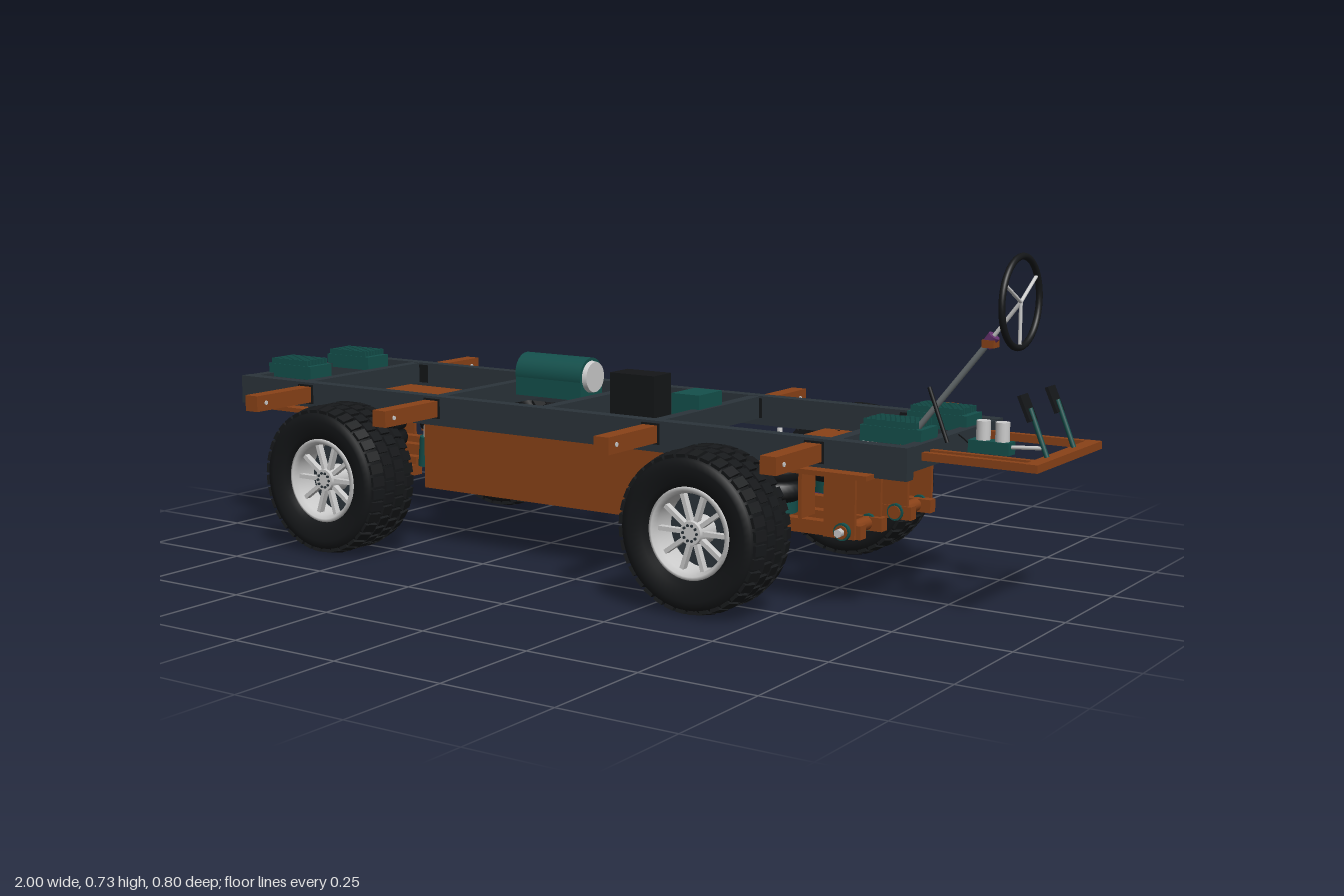
import * as THREE from 'three';

const mat = (color, flat = false) => new THREE.MeshStandardMaterial({ color, flatShading: flat });
const RUST = mat(0x8a4218), STEEL = mat(0x2b343a), BLACK = mat(0x141618), TREAD = mat(0x17191b, true);
const TEAL = mat(0x14504c), BLUE = mat(0x24479c), PURPLE = mat(0x64306c), GREY = mat(0xcccccc), DARKGREY = mat(0x6d7476);

function add(parent, name, geo, material) {
  const m = new THREE.Mesh(geo, material);
  m.name = name;
  parent.add(m);
  return m;
}

// Box given by its extents, in any order
function box(parent, name, material, xa, xb, ya, yb, za, zb) {
  const m = add(parent, name, new THREE.BoxGeometry(Math.abs(xb - xa), Math.abs(yb - ya), Math.abs(zb - za)), material);
  m.position.set((xa + xb) / 2, (ya + yb) / 2, (za + zb) / 2);
  return m;
}

// Round bar between two points
function rod(parent, name, material, a, b, r, r2 = r, sides = 16) {
  const p = new THREE.Vector3(...a), q = new THREE.Vector3(...b);
  const d = q.clone().sub(p);
  const m = add(parent, name, new THREE.CylinderGeometry(r2, r, d.length(), sides), material);
  m.position.copy(p).add(q).multiplyScalar(0.5);
  m.quaternion.setFromUnitVectors(new THREE.Vector3(0, 1, 0), d.normalize());
  return m;
}

function cable(parent, name, points, r = 0.0025) {
  const curve = new THREE.CatmullRomCurve3(points.map(p => new THREE.Vector3(...p)));
  return add(parent, name, new THREE.TubeGeometry(curve, 20, r, 5), BLACK);
}

// Wheel with its axis on local y, outer face towards +y
function wheel() {
  const g = new THREE.Group();
  const v = (x, y) => new THREE.Vector2(x, y);
  const tyre = [v(0.092, -0.055), v(0.105, -0.068), v(0.135, -0.072), v(0.15, -0.069), v(0.158, -0.058), v(0.16, 0),
    v(0.158, 0.058), v(0.15, 0.069), v(0.135, 0.072), v(0.105, 0.068), v(0.092, 0.055), v(0.09, 0), v(0.092, -0.055)];
  add(g, 'tyre', new THREE.LatheGeometry(tyre, 56), BLACK);
  // Four staggered rows of tread blocks
  const n = 36;
  for (let row = 0; row < 4; row++) {
    const block = new THREE.BoxGeometry(0.009, row % 3 ? 0.028 : 0.03, 0.021);
    const rowMesh = new THREE.InstancedMesh(block, TREAD, 0);
    rowMesh.geometry.dispose();
    for (let i = 0; i < n; i++) {
      const a = ((i + (row % 2) * 0.5) / n) * Math.PI * 2;
      const outer = row === 0 || row === 3;
      const r = outer ? 0.159 : 0.161;
      const m = add(g, 'treadBlock', block, TREAD);
      m.position.set(Math.cos(a) * r, (row - 1.5) * 0.034, Math.sin(a) * r);
      m.rotation.y = -a;
      if (outer) m.rotateZ(row === 0 ? -0.22 : 0.22);
    }
  }
  // Rim barrel, dark backing and spokes
  const rim = [v(0.085, -0.06), v(0.094, -0.06), v(0.094, 0.058), v(0.086, 0.062), v(0.08, 0.05), v(0.078, -0.02), v(0.085, -0.06)];
  add(g, 'rim', new THREE.LatheGeometry(rim, 48), GREY);
  const disc = add(g, 'brakeDisc', new THREE.CylinderGeometry(0.08, 0.08, 0.02, 32), STEEL);
  disc.position.y = -0.01;
  const hub = add(g, 'hub', new THREE.CylinderGeometry(0.024, 0.03, 0.05, 24), GREY);
  hub.position.y = 0.027;
  for (let i = 0; i < 10; i++) {
    const a = (i / 10) * Math.PI * 2, c = Math.cos(a), s = Math.sin(a);
    const spoke = add(g, 'spoke', new THREE.BoxGeometry(0.062, 0.014, 0.009), GREY);
    spoke.position.set(c * 0.053, 0.038, s * 0.053);
    spoke.rotation.y = -a;
    rod(g, 'wheelBolt', STEEL, [c * 0.016, 0.05, s * 0.016], [c * 0.016, 0.055, s * 0.016], 0.003, 0.003, 6);
  }
  return g;
}

// Suspension corner: u runs outboard along the car from the axle, w sideways from the middle
function corner(cx, s, t, front) {
  const g = new THREE.Group();
  g.name = (front ? 'front' : 'rear') + (t > 0 ? 'Left' : 'Right') + 'Suspension';
  const P = (u, y, w) => [cx + s * u, y, t * w];
  const b = (name, m, u0, u1, y0, y1, w0, w1) => box(g, name, m, cx + s * u0, cx + s * u1, y0, y1, t * w0, t * w1);
  const r = (name, m, p, q, rad, rad2, sides) => rod(g, name, m, P(...p), P(...q), rad, rad2, sides);

  // Mounting plates and hanging brackets
  b('mountPlate', RUST, 0.125, 0.325, 0.288, 0.298, 0.08, 0.252);
  b('springPlate', RUST, -0.01, 0.125, 0.288, 0.298, 0.04, 0.192);
  b('outerPlate', RUST, 0.05, 0.125, 0.288, 0.298, 0.19, 0.252);
  for (const w of [0.06, 0.17]) {
    b('hangerBracket', RUST, 0.19, 0.26, 0.15, 0.29, w - 0.004, w + 0.004);
    r('pivotBush', TEAL, [0.235, 0.165, w - 0.012], [0.235, 0.165, w + 0.012], 0.018);
  }
  b('hangerWeb', RUST, 0.155, 0.163, 0.19, 0.29, 0.16, 0.215);
  // Lower arm: cross tubes joined by two side bars
  r('pivotTube', RUST, [0.235, 0.165, 0.045], [0.235, 0.165, 0.185], 0.014);
  r('pivotBolt', GREY, [0.235, 0.165, 0.18], [0.235, 0.165, 0.198], 0.009, 0.009, 6);
  for (const w of [0.065, 0.155]) b('armSide', RUST, -0.02, 0.27, 0.15, 0.178, w - 0.012, w + 0.012);
  b('armCross', RUST, -0.02, 0.03, 0.135, 0.16, 0.055, 0.165);
  // Air spring bellows
  const prof = [[0, 0], [0.05, 0], [0.068, 0.012], [0.071, 0.024], [0.066, 0.038], [0.058, 0.043], [0.066, 0.048], [0.071, 0.062], [0.068, 0.074], [0.05, 0.085], [0, 0.085]];
  const bellows = add(g, 'airSpring', new THREE.LatheGeometry(prof.map(p => new THREE.Vector2(...p)), 32), BLACK);
  bellows.position.set(...P(0.05, 0.203, 0.13));
  r('springSeat', TEAL, [0.05, 0.178, 0.13], [0.05, 0.205, 0.13], 0.05);
  // Damper
  r('damperBody', TEAL, [-0.04, 0.16, 0.07], [-0.05, 0.23, 0.075], 0.014);
  r('damperRod', GREY, [-0.05, 0.23, 0.075], [-0.06, 0.31, 0.08], 0.006);
  // Knuckle with its kingpin and axle stub
  b('knuckle', PURPLE, -0.03, 0.03, 0.145, 0.195, 0.14, 0.27);
  r('kingpin', PURPLE, [0, 0.105, 0.17], [0, 0.215, 0.17], 0.013);
  r('kingpinCollar', TEAL, [0, 0.122, 0.17], [0, 0.14, 0.17], 0.019);
  r('kingpinDisc', RUST, [0, 0.109, 0.17], [0, 0.118, 0.17], 0.026);
  cable(g, 'brakeHose', [P(0.03, 0.3, 0.18), P(0.02, 0.25, 0.2), P(0, 0.2, 0.25)]);
  cable(g, 'airLine', [P(0.02, 0.3, 0.02), P(-0.05, 0.305, 0.01), P(-0.1, 0.305, 0.04)], 0.0015);

  const wh = wheel();
  wh.name = (front ? 'front' : 'rear') + (t > 0 ? 'Left' : 'Right') + 'Wheel';
  wh.position.set(...P(0, 0.168, 0.317));
  wh.rotation.x = t * Math.PI / 2;
  g.add(wh);
  return g;
}

export function createModel() {
  const root = new THREE.Group();

  // Ladder frame
  for (const t of [1, -1]) {
    box(root, 'sideRail', STEEL, -1, 0.76, 0.29, 0.355, t * 0.192, t * 0.22);
    for (const x of [-0.793, -0.413, 0.172, 0.558]) {
      box(root, 'outrigger', RUST, x - 0.018, x + 0.018, 0.31, 0.346, t * 0.22, t * 0.398);
      rod(root, 'outriggerBolt', GREY, [x - 0.02, 0.328, t * 0.37], [x + 0.02, 0.328, t * 0.37], 0.005, 0.005, 8);
      box(root, 'railSocket', BLACK, x - 0.022, x + 0.022, 0.306, 0.35, t * 0.19, t * 0.223);
    }
  }
  for (const x of [-0.987, -0.81, -0.41, -0.12, 0.175, 0.59, 0.747])
    box(root, 'crossMember', STEEL, x - 0.013, x + 0.013, 0.305, 0.354, -0.195, 0.195);

  // Suspension corners and wheels
  for (const t of [1, -1]) {
    root.add(corner(-0.605, -1, t, false));
    root.add(corner(0.365, 1, t, true));
  }

  // Open battery tray with cells
  const tray = new THREE.Group();
  tray.name = 'batteryTray';
  root.add(tray);
  box(tray, 'trayFloor', RUST, -0.49, 0.245, 0.13, 0.138, -0.157, 0.157);
  for (const t of [1, -1]) box(tray, 'traySide', RUST, -0.49, 0.245, 0.138, 0.285, t * 0.147, t * 0.157);
  for (const x of [-0.485, 0.24]) box(tray, 'trayEnd', RUST, x - 0.005, x + 0.005, 0.138, 0.285, -0.147, 0.147);
  box(tray, 'trayShelf', RUST, -0.48, 0.235, 0.138, 0.25, 0.062, 0.147);
  box(tray, 'trayEndShelf', RUST, -0.48, -0.425, 0.138, 0.265, -0.147, 0.062);
  for (let i = 0; i < 6; i++) for (let j = 0; j < 4; j++) {
    const x = -0.418 + i * 0.109, z = -0.143 + j * 0.051;
    box(tray, 'batteryCell', BLUE, x, x + 0.105, 0.14, 0.268, z, z + 0.048);
    for (const k of [0.025, 0.08]) box(tray, 'terminal', STEEL, x + k - 0.006, x + k + 0.006, 0.268, 0.273, z + 0.02, z + 0.028);
  }
  for (const x of [-0.36, -0.205, 0.08]) box(tray, 'controlUnit', TEAL, x - 0.04, x + 0.04, 0.25, 0.29, 0.092, 0.138);

  // Equipment on top of the cells
  rod(root, 'compressorTank', TEAL, [-0.315, 0.395, 0], [-0.135, 0.395, 0], 0.043, 0.043, 32);
  rod(root, 'tankCap', GREY, [-0.135, 0.395, 0], [-0.124, 0.395, 0], 0.036, 0.034, 32);
  box(root, 'tankBase', TEAL, -0.315, -0.135, 0.345, 0.395, -0.042, 0.042);
  box(root, 'powerUnit', BLACK, -0.06, 0.056, 0.3, 0.415, -0.034, 0.034);
  box(root, 'chargerBox', TEAL, 0.11, 0.18, 0.3, 0.385, -0.046, 0.046);

  // Ribbed coolers at both ends
  for (const x of [-0.922, 0.682]) for (const t of [1, -1]) {
    box(root, 'coolerBase', TEAL, x - 0.067, x + 0.067, 0.345, 0.377, t * 0.066, t * 0.139);
    for (let i = 0; i < 7; i++) {
      const z = t * (0.07 + i * 0.0108);
      box(root, 'coolerFin', TEAL, x - 0.06, x + 0.055, 0.377, 0.39, z - 0.002, z + 0.002);
    }
  }

  // Steering linkage
  box(root, 'steeringRack', TEAL, 0.247, 0.265, 0.185, 0.215, -0.09, 0.09);
  rod(root, 'steeringShaft', GREY, [0.26, 0.21, 0.03], [0.4, 0.28, 0.08], 0.007);
  rod(root, 'steeringShaftUpper', GREY, [0.4, 0.28, 0.08], [0.73, 0.37, 0.12], 0.006);
  for (const t of [1, -1]) {
    rod(root, 'tieRod', PURPLE, [0.255, 0.2, t * 0.09], [0.265, 0.18, t * 0.15], 0.007);
    rod(root, 'steeringArm', PURPLE, [0.265, 0.18, t * 0.15], [0.35, 0.17, t * 0.17], 0.01);
  }

  // Front hoop
  for (const t of [1, -1]) box(root, 'hoopSide', RUST, 0.755, 0.975, 0.322, 0.338, t * 0.143, t * 0.158);
  box(root, 'hoopFront', RUST, 0.972, 1, 0.322, 0.338, -0.16, 0.16);
  box(root, 'pedalBar', RUST, 0.755, 0.975, 0.322, 0.338, 0.108, 0.122);

  // Steering column and wheel
  const steering = new THREE.Group();
  steering.name = 'steering';
  root.add(steering);
  rod(steering, 'lowerColumn', DARKGREY, [0.73, 0.375, 0.12], [0.88, 0.56, 0.12], 0.006);
  rod(steering, 'upperColumn', GREY, [0.88, 0.56, 0.12], [0.94, 0.637, 0.12], 0.004);
  rod(steering, 'columnJoint', PURPLE, [0.873, 0.55, 0.12], [0.888, 0.57, 0.12], 0.012);
  box(steering, 'columnBracket', RUST, 0.868, 0.893, 0.547, 0.562, 0.107, 0.133);
  const ring = add(steering, 'steeringRing', new THREE.TorusGeometry(0.086, 0.0065, 12, 56), BLACK);
  ring.position.set(0.94, 0.637, 0.12);
  ring.rotation.y = Math.PI / 2;
  for (const a of [0.56, 2.66, 4.712])
    rod(steering, 'ringSpoke', GREY, [0.94, 0.637, 0.12], [0.94, 0.637 + 0.083 * Math.sin(a), 0.12 - 0.083 * Math.cos(a)], 0.0035);

  // Pedals, side lever and brake cylinders
  for (const z of [0.074, -0.058]) {
    rod(root, 'pedalArm', TEAL, [0.982, 0.338, z], [0.945, 0.43, z], 0.005);
    const pad = box(root, 'pedalPad', BLACK, 0.936, 0.943, 0.403, 0.457, z - 0.018, z + 0.018);
    pad.rotation.z = 0.42;
  }
  rod(root, 'sideLever', BLACK, [0.837, 0.372, 0.207], [0.797, 0.475, 0.207], 0.004);
  box(root, 'brakeCylinderBase', TEAL, 0.825, 0.91, 0.335, 0.36, 0.058, 0.09);
  for (const x of [0.85, 0.89]) rod(root, 'brakeReservoir', GREY, [x, 0.36, 0.074], [x, 0.398, 0.074], 0.014);
  rod(root, 'brakePushRod', GREY, [0.9, 0.35, 0.074], [0.976, 0.355, 0.074], 0.004);
  cable(root, 'brakeLine', [[0.83, 0.34, 0.07], [0.78, 0.35, 0.02], [0.7, 0.34, -0.1], [0.66, 0.33, -0.18]], 0.0015);
  return root;
}
